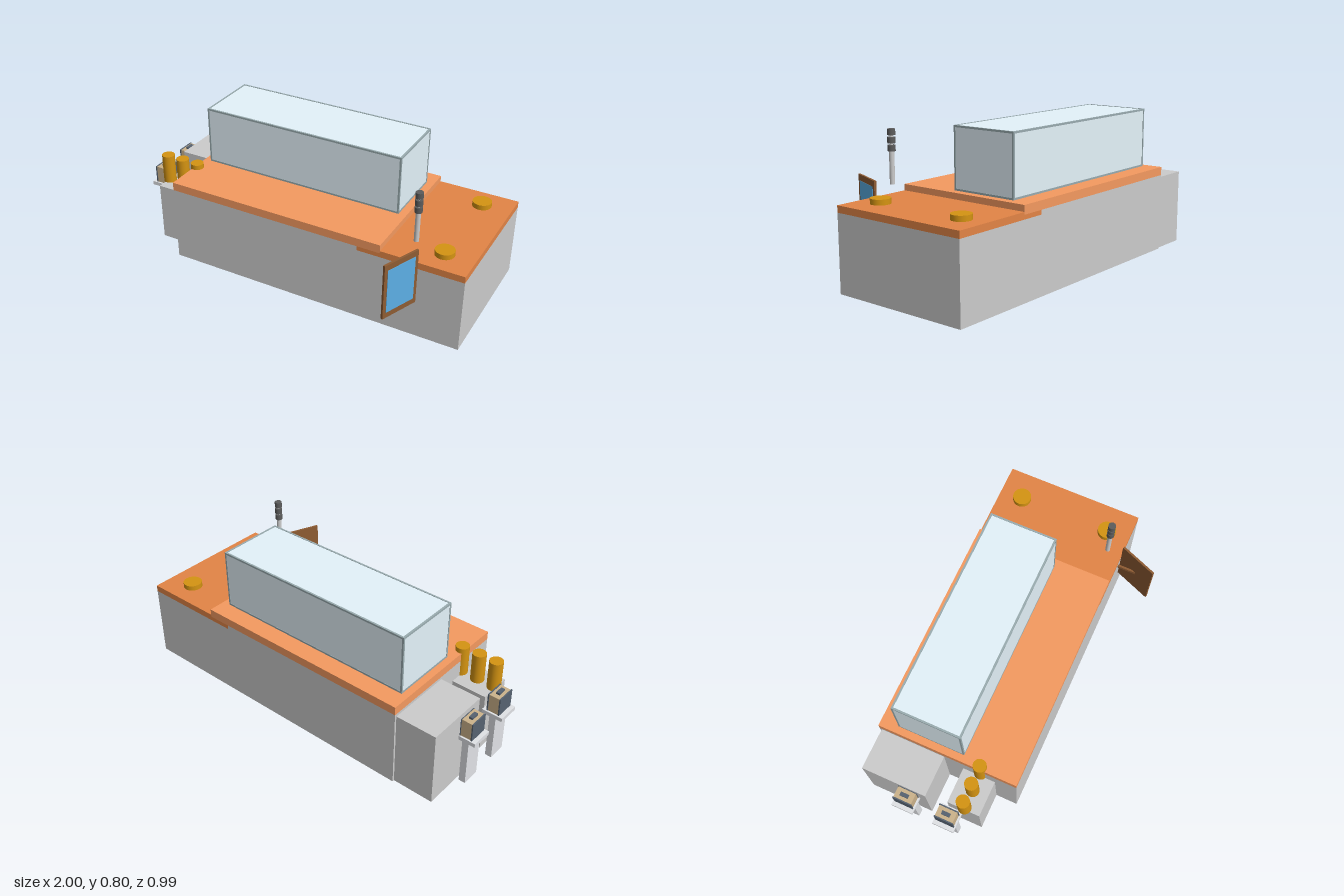
import * as THREE from 'three';

const mat = (color) => new THREE.MeshStandardMaterial({ color });
const M = {
  grey: mat(0xcccccc), deck: mat(0xf59a60), slab: mat(0xe38546), gold: mat(0xd59412),
  glass: mat(0xe4f3fa), edge: mat(0x9aacb0), brown: mat(0x8e5c33), blue: mat(0x5cafe6),
  dark: mat(0x5c5c5c), tan: mat(0xccb38b), slate: mat(0x566270), pale: mat(0xe0e2e6),
};

// Box given by its limits on each axis
function box(parent, name, m, [x0, x1], [y0, y1], [z0, z1]) {
  const mesh = new THREE.Mesh(new THREE.BoxGeometry(x1 - x0, y1 - y0, z1 - z0), m);
  mesh.position.set((x0 + x1) / 2, (y0 + y1) / 2, (z0 + z1) / 2);
  mesh.name = name;
  parent.add(mesh);
  return mesh;
}

// Upright cylinder from y0 to y1
function post(parent, name, m, r, x, z, y0, y1) {
  const mesh = new THREE.Mesh(new THREE.CylinderGeometry(r, r, y1 - y0, 24), m);
  mesh.position.set(x, (y0 + y1) / 2, z);
  mesh.name = name;
  parent.add(mesh);
  return mesh;
}

// Glass hood with thin bars along all twelve edges
function createHood() {
  const g = new THREE.Group();
  g.name = 'glassHood';
  const lo = [-0.645, 0.473, -0.395], hi = [0.515, 0.797, -0.022], t = 0.01, inset = 0.002;
  const range = (i, d) => [lo[i] + d, hi[i] - d];
  box(g, 'glass', M.glass, range(0, inset), range(1, inset), range(2, inset));
  for (let axis = 0; axis < 3; axis++) {
    const b = (axis + 1) % 3, c = (axis + 2) % 3;
    for (const sb of [0, 1]) for (const sc of [0, 1]) {
      const r = [];
      r[axis] = range(axis, 0);
      r[b] = sb ? [hi[b] - t, hi[b]] : [lo[b], lo[b] + t];
      r[c] = sc ? [hi[c] - t, hi[c]] : [lo[c], lo[c] + t];
      box(g, 'hoodEdge', M.edge, ...r);
    }
  }
  return g;
}

// Swivelling control screen on a short arm
function createScreen() {
  const g = new THREE.Group();
  g.name = 'controlScreen';
  box(g, 'screenFrame', M.brown, [-0.11, 0.11], [-0.155, 0.155], [-0.006, 0.006]);
  box(g, 'display', M.blue, [-0.09, 0.09], [-0.123, 0.123], [0, 0.008]);
  g.position.set(0.714, 0.364, 0.388);
  g.rotation.y = 1.19;
  return g;
}

// Stand with a tray and a small reader unit
function createStand(z) {
  const g = new THREE.Group();
  g.name = 'readerStand';
  box(g, 'standPost', M.pale, [-0.96, -0.924], [0, 0.264], [-0.05, 0.05]);
  box(g, 'standTray', M.pale, [-1, -0.885], [0.264, 0.286], [-0.06, 0.06]);
  box(g, 'readerBody', M.tan, [-0.97, -0.912], [0.286, 0.384], [-0.05, 0.05]);
  for (const x of [-0.977, -0.912])
    box(g, 'readerPanel', M.slate, [x, x + 0.007], [0.286, 0.386], [-0.053, 0.053]);
  box(g, 'readerButton', M.slate, [-0.952, -0.932], [0.384, 0.396], [-0.023, 0.023]);
  g.position.z = z;
  return g;
}

// Signal tower with three stacked lamps
function createTower() {
  const g = new THREE.Group();
  g.name = 'signalTower';
  post(g, 'towerPole', M.grey, 0.013, 0, 0, 0.507, 0.675);
  post(g, 'towerCore', M.grey, 0.008, 0, 0, 0.67, 0.76);
  for (const y of [0.671, 0.71, 0.75]) post(g, 'towerLamp', M.dark, 0.02, 0, 0, y, y + 0.03);
  g.position.set(0.712, 0, 0.208);
  return g;
}

export function createModel() {
  const model = new THREE.Group();
  model.name = 'machine';
  const depth = [-0.493, 0.285];

  // Cabinet and its stepped top
  box(model, 'cabinet', M.grey, [-0.683, 1], [0, 0.404], depth);
  box(model, 'cabinetRiser', M.grey, [-0.683, 0.43], [0.404, 0.427], depth);
  box(model, 'raisedDeck', M.deck, [-0.683, 0.557], [0.427, 0.473], depth);
  box(model, 'lowerDeckLip', M.slab, [0.43, 0.557], [0.404, 0.427], depth);
  box(model, 'lowerDeck', M.slab, [0.557, 1], [0.404, 0.44], depth);
  model.add(createHood());

  // End cabinets
  box(model, 'rearEndCabinet', M.grey, [-0.908, -0.683], [0, 0.413], [-0.482, -0.122]);
  box(model, 'frontEndCabinet', M.grey, [-0.877, -0.683], [0, 0.336], [-0.018, 0.163]);

  // Canisters and deck caps
  for (const x of [-0.866, -0.768, -0.668]) post(model, 'canister', M.gold, 0.036, x, 0.076, 0.336, 0.5);
  for (const z of [-0.363, 0.155]) post(model, 'deckCap', M.gold, 0.051, 0.843, z, 0.44, 0.468);

  // Fittings
  for (const z of [-0.225, 0.01]) model.add(createStand(z));
  model.add(createTower());
  box(model, 'screenArm', M.brown, [0.706, 0.718], [0.355, 0.373], [0.28, 0.39]);
  model.add(createScreen());
  return model;
}
